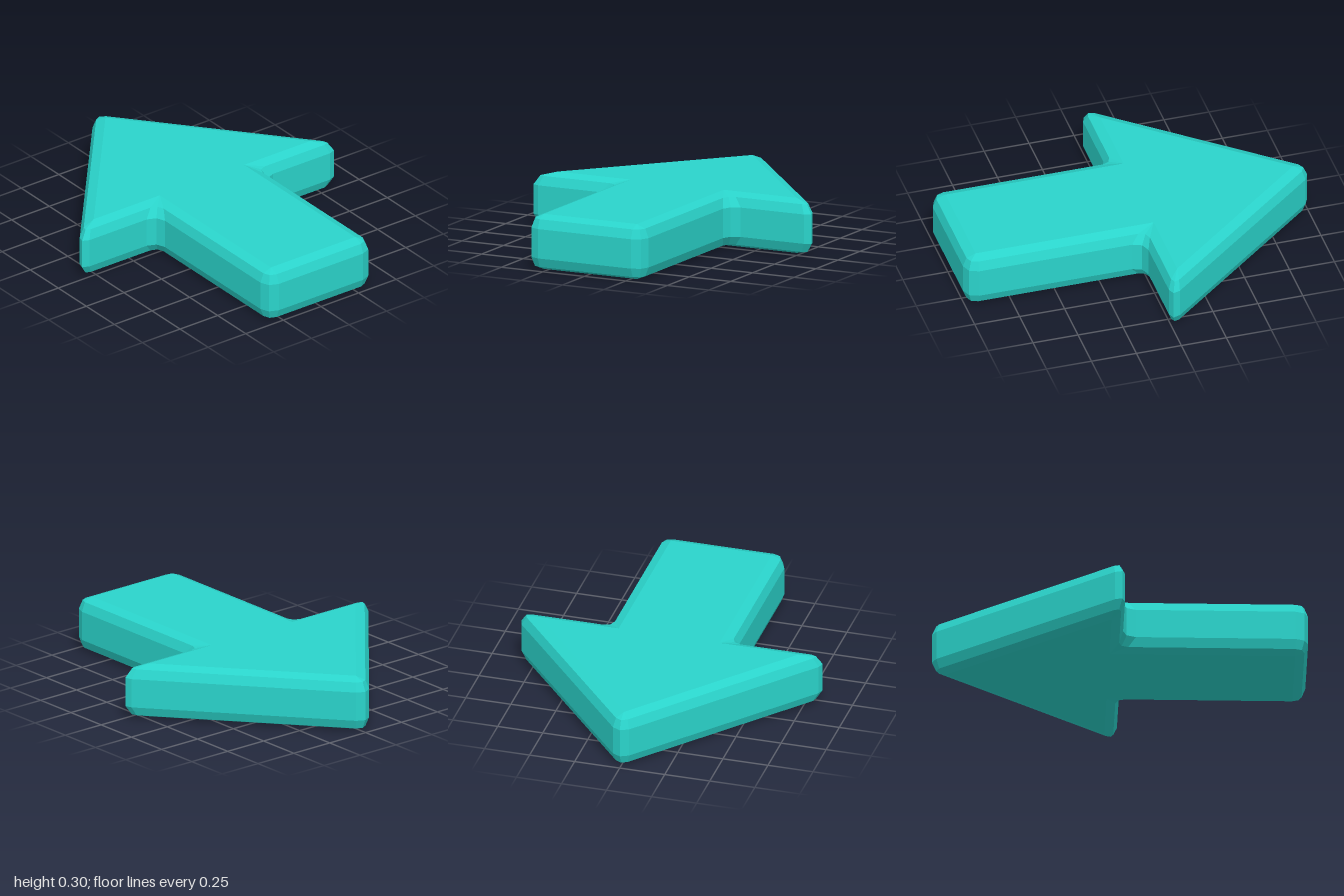
import * as THREE from 'three';

// Flat-face outline of the arrow as (x, z), clockwise seen from above
const CORE = [
  [0, -0.92], [0.72, -0.06], [0.28, -0.06], [0.28, 0.93],
  [-0.28, 0.93], [-0.28, -0.06], [-0.72, -0.06],
].map(([x, z]) => new THREE.Vector2(x, z));

// Bevel profile: [height, outward offset from the core outline]
const LEVELS = [[0, 0], [0.02, 0.05], [0.07, 0.07], [0.23, 0.07], [0.28, 0.05], [0.3, 0]];

// Outline pushed out by d, each corner rounded with three points
function ring(d) {
  const n = CORE.length;
  return CORE.flatMap((p, i) => {
    const back = CORE[(i + n - 1) % n].clone().sub(p).normalize();
    const ahead = CORE[(i + 1) % n].clone().sub(p).normalize();
    const n1 = new THREE.Vector2(-back.y, back.x);
    const n2 = new THREE.Vector2(ahead.y, -ahead.x);
    const miter = n1.clone().add(n2).multiplyScalar(d / (1 + n1.dot(n2))).add(p);
    return [
      miter.clone().addScaledVector(back, d),
      miter.clone().addScaledVector(back, 0.29 * d).addScaledVector(ahead, 0.29 * d),
      miter.clone().addScaledVector(ahead, d),
    ];
  });
}

function arrowGeometry() {
  const positions = [];
  const index = [];
  const count = CORE.length * 3;
  for (const [y, d] of LEVELS) {
    for (const p of ring(d)) positions.push(p.x, y, p.y);
  }

  // Bevels and walls
  for (let l = 0; l < LEVELS.length - 1; l++) {
    for (let i = 0; i < count; i++) {
      const a = l * count + i;
      const b = l * count + (i + 1) % count;
      index.push(b, a, a + count, b, a + count, b + count);
    }
  }

  // Flat bottom and top
  const top = (LEVELS.length - 1) * count;
  for (const [a, b, c] of THREE.ShapeUtils.triangulateShape(CORE, [])) {
    const cross = CORE[b].clone().sub(CORE[a]).cross(CORE[c].clone().sub(CORE[a]));
    const tri = (cross < 0 ? [a, b, c] : [a, c, b]).map((k) => k * 3 + 1);
    index.push(...tri.map((k) => k + top), tri[0], tri[2], tri[1]);
  }

  const geometry = new THREE.BufferGeometry();
  geometry.setAttribute('position', new THREE.Float32BufferAttribute(positions, 3));
  geometry.setIndex(index);
  const flat = geometry.toNonIndexed();
  flat.computeVertexNormals();
  return flat;
}

export function createModel() {
  const group = new THREE.Group();
  group.name = 'arrow';
  const material = new THREE.MeshStandardMaterial({ color: 0x2ad4cb, flatShading: true });
  const body = new THREE.Mesh(arrowGeometry(), material);
  body.name = 'arrowBody';
  group.add(body);
  return group;
}
